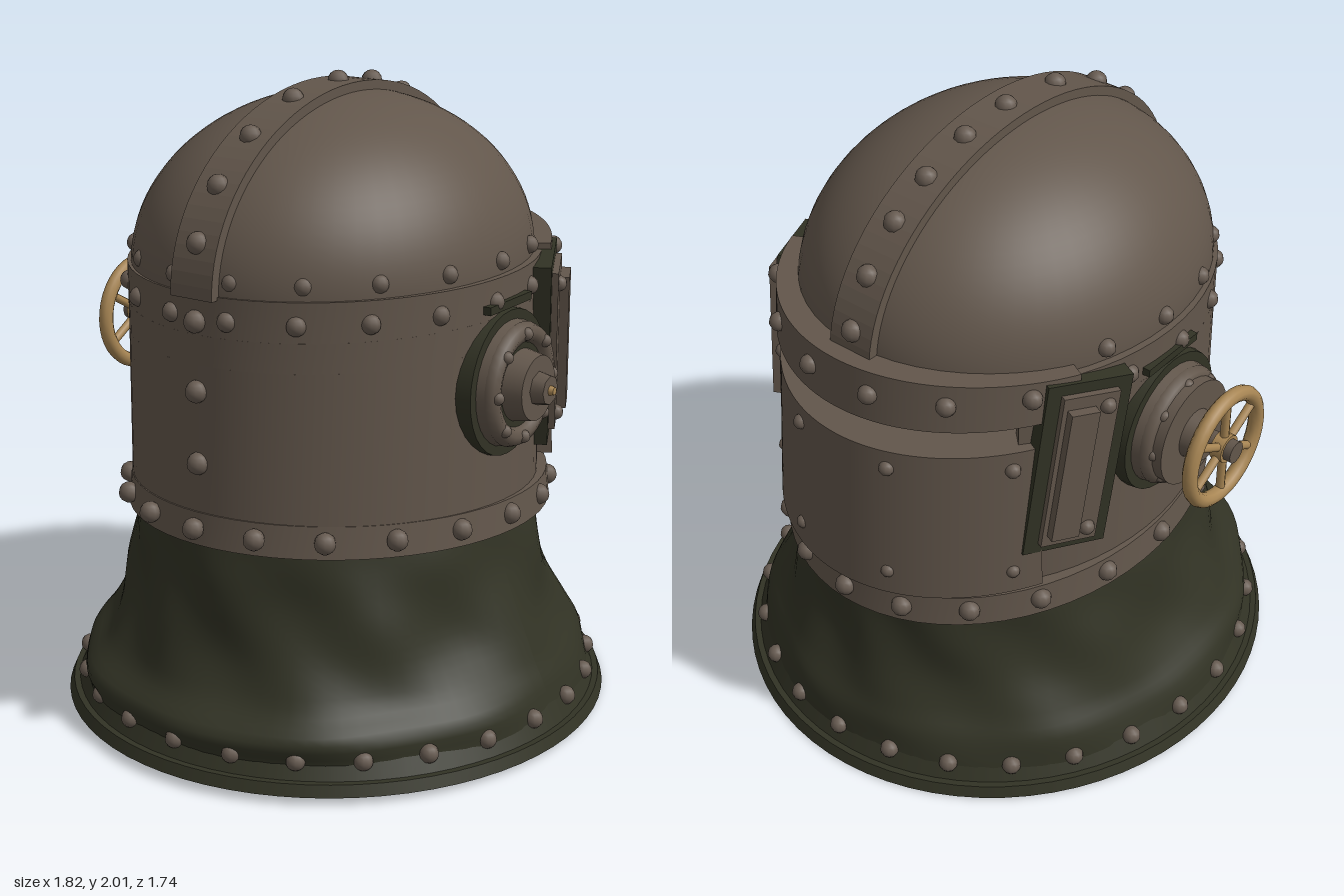
import * as THREE from 'three';
import { mergeGeometries } from 'three/addons/utils/BufferGeometryUtils.js';

const material = (name, color, side = THREE.FrontSide) => {
  const m = new THREE.MeshStandardMaterial({ color, side });
  m.name = name;
  return m;
};

export function createModel() {
  const iron = material('rusted iron', 0x62564b);
  const rivetIron = material('rivet iron', 0x675b51);
  const cloth = material('dark green cloth', 0x313224, THREE.DoubleSide);
  const brass = material('brass', 0xa88654);
  const root = new THREE.Group();
  root.name = 'helmet';

  const add = (name, geo, mat, parent = root, pos = [0, 0, 0]) => {
    const m = new THREE.Mesh(geo, mat);
    m.name = name;
    m.position.set(...pos);
    parent.add(m);
    return m;
  };
  const rad = THREE.MathUtils.degToRad;

  // Solid elliptical band: a rectangle swept round the y axis, y0/y1 dropping with x by tilt
  function band({ rx, rz, t, y0, y1, a0 = 0, a1 = 360, lean = 0, tilt0 = 0, tilt1 = 0, n = 64 }) {
    const corner = (k, a) => {
      const top = k === 1 || k === 2, inset = k > 1 ? t : 0;
      const d = -inset + (top ? lean : 0);
      const x = (rx + d) * Math.cos(a), z = (rz + d) * Math.sin(a);
      return [x, top ? y1 - tilt1 * x : y0 - tilt0 * x, z];
    };
    const pos = [], idx = [];
    for (let k = 0; k < 4; k++) {
      const base = pos.length / 3;
      for (let i = 0; i <= n; i++) {
        const a = rad(a0 + (a1 - a0) * i / n);
        pos.push(...corner(k, a), ...corner((k + 1) % 4, a));
        if (i < n) {
          const p = base + i * 2;
          idx.push(p, p + 1, p + 2, p + 1, p + 3, p + 2);
        }
      }
    }
    if (a1 - a0 < 360) {
      for (const [a, flip] of [[a0, true], [a1, false]]) {
        const b = pos.length / 3;
        for (let k = 0; k < 4; k++) pos.push(...corner(k, rad(a)));
        idx.push(...(flip ? [b, b + 2, b + 1, b, b + 3, b + 2] : [b, b + 1, b + 2, b, b + 2, b + 3]));
      }
    }
    const g = new THREE.BufferGeometry();
    g.setAttribute('position', new THREE.Float32BufferAttribute(pos, 3));
    g.setIndex(idx);
    g.computeVertexNormals();
    return g;
  }

  // Rivet heads, merged by row
  function rivets(name, points, r = 0.03, parent = root) {
    add(name, mergeGeometries(points.map(p => new THREE.SphereGeometry(r, 10, 8).translate(...p))), rivetIron, parent);
  }
  const ring = (n, rx, rz, y, { a0 = 0, a1 = 360, tilt = 0 } = {}) =>
    Array.from({ length: n }, (_, i) => {
      const a = rad(a0 + (a1 - a0) * (a1 - a0 < 360 ? i / (n - 1) : i / n));
      const x = rx * Math.cos(a);
      return [x, y - tilt * x, rz * Math.sin(a)];
    });

  // Skull dome
  const dome = new THREE.SphereGeometry(1, 56, 24, 0, Math.PI * 2, 0, Math.PI / 2);
  dome.scale(0.69, 0.51, 0.595);
  add('dome', dome, iron, root, [-0.01, 1.45, 0]);

  // Crest strip over the dome, front to back
  const crest = new THREE.Shape();
  const arc = (r, i) => [-0.01 + (0.69 + r) * Math.cos(rad(4 + i * 4)), 1.45 + (0.51 + r) * Math.sin(rad(4 + i * 4))];
  for (let i = 0; i <= 44; i++) i ? crest.lineTo(...arc(0.025, i)) : crest.moveTo(...arc(0.025, i));
  for (let i = 44; i >= 0; i--) crest.lineTo(...arc(-0.02, i));
  add('crestStrip', new THREE.ExtrudeGeometry(crest, { depth: 0.15, bevelEnabled: false }), iron, root, [0, 0, -0.075]);
  rivets('crestRivets', [12, 29, 45, 59, 74, 89, 108, 127, 145, 163].map(d =>
    [-0.01 + 0.71 * Math.cos(rad(d)), 1.45 + 0.53 * Math.sin(rad(d)), 0]), 0.034);
  rivets('backRivets', [0.95, 1.17, 1.38].map(y => [-0.71, y, 0]), 0.034);

  // Side walls, broken at the front by the eye slot
  add('lowerWall', band({ rx: 0.71, rz: 0.62, t: 0.06, y0: 0.68, y1: 1.25, lean: -0.005, tilt0: 0.066 }), iron);
  add('middleWall', band({ rx: 0.705, rz: 0.615, t: 0.06, y0: 1.25, y1: 1.34, a0: 46, a1: 314 }), iron);
  add('upperWall', band({ rx: 0.705, rz: 0.615, t: 0.06, y0: 1.34, y1: 1.46 }), iron);

  // Inner lining seen through the slot
  const lining = new THREE.LatheGeometry(
    [[0.94, 0.75], [0.94, 1.24], [0.76, 1.245], [0.76, 1.345], [0.94, 1.35], [0.94, 1.45]].map(p => new THREE.Vector2(...p)), 48);
  add('lining', lining.scale(0.7, 1, 0.6), cloth);

  // Brow, visor plate and collar band
  add('browBand', band({ rx: 0.77, rz: 0.645, t: 0.1, y0: 1.36, y1: 1.46, a0: -62, a1: 62, lean: -0.01, tilt0: 0.025, tilt1: -0.06 }), iron);
  add('visorPlate', band({ rx: 0.81, rz: 0.65, t: 0.13, y0: 0.78, y1: 1.25, a0: -54, a1: 54, lean: -0.03, tilt0: 0.066 }), iron);
  add('collarBand', band({ rx: 0.755, rz: 0.64, t: 0.09, y0: 0.65, y1: 0.75, tilt0: 0.066, tilt1: 0.066, lean: -0.01 }), iron)
    .position.x = 0.03;
  rivets('browRivets', ring(6, 0.765, 0.645, 1.46, { a0: -50, a1: 50, tilt: 0.04 }));
  rivets('visorTopRivets', ring(4, 0.78, 0.625, 1.19, { a0: -47, a1: 47 }), 0.024);
  rivets('visorBottomRivets', ring(4, 0.8, 0.64, 0.84, { a0: -47, a1: 47, tilt: 0.04 }), 0.022);
  rivets('collarRivets', ring(20, 0.76, 0.635, 0.705, { tilt: 0.066 }).map(([x, y, z]) => [x + 0.02, y, z]), 0.033);
  rivets('wallTopRivets', ring(12, 0.7, 0.61, 1.39, { a0: 76, a1: 284 }));
  rivets('domeRivets', ring(12, 0.68, 0.59, 1.5, { a0: 70, a1: 290 }), 0.028);

  for (const s of [1, -1]) {
    const side = s > 0 ? 'left' : 'right';

    // Slanted hinge plates beside the visor
    const hinge = new THREE.Group();
    hinge.name = side === 'left' ? 'hingeLeft' : 'hingeRight';
    hinge.position.set(0.36, 1.16, s * 0.54);
    hinge.rotation.set(0, s > 0 ? 0.45 : Math.PI - 0.45, s * 0.13);
    root.add(hinge);
    add('hingeBacking', new THREE.BoxGeometry(0.27, 0.6, 0.06), cloth, hinge);
    add('hingePlate', new THREE.BoxGeometry(0.18, 0.53, 0.1), iron, hinge);
    add('hingeRail', new THREE.BoxGeometry(0.09, 0.45, 0.04), iron, hinge, [s * 0.03, 0, 0.06]);
    rivets('hingeRivets', [-0.22, 0.22].map(y => [-s * 0.055, y, 0.05]), 0.025, hinge);

    // Round valve seats
    const valve = new THREE.Group();
    valve.name = side === 'left' ? 'valveLeft' : 'valveRight';
    valve.position.set(0, 1.13, s * 0.6);
    valve.rotation.y = s > 0 ? 0 : Math.PI;
    root.add(valve);
    const disc = (name, r0, r1, z0, z1, mat, n = 32) =>
      add(name, new THREE.CylinderGeometry(r1, r0, z1 - z0, n).rotateX(Math.PI / 2), mat, valve, [0, 0, (z0 + z1) / 2]);
    disc('valveBacking', 0.235, 0.225, -0.06, 0.03, cloth);
    disc('valveFlange', 0.2, 0.19, 0, 0.06, iron);
    add('valveRim', new THREE.TorusGeometry(0.16, 0.032, 8, 36), iron, valve, [0, 0, 0.06]);
    disc('valveGroove', 0.13, 0.13, 0.05, 0.068, cloth);
    rivets('valveRivets', ring(8, 0.16, 0.16, 0).map(([x, , z]) => [x, z, 0.085]), 0.02, valve);
    add('ventPlate', new THREE.BoxGeometry(0.24, 0.025, 0.04), cloth, valve, [0, 0.245, 0.01]);

    if (s > 0) {
      // Capped valve
      disc('valveHub', 0.115, 0.1, 0.05, 0.13, iron);
      disc('valveNut', 0.055, 0.045, 0.12, 0.17, iron, 8);
      disc('valvePin', 0.018, 0.012, 0.16, 0.185, brass, 10);
    } else {
      // Valve with a hand wheel
      disc('valveHub', 0.17, 0.17, 0.07, 0.12, iron);
      disc('valveCollar', 0.08, 0.07, 0.11, 0.17, iron);
      disc('valveShaft', 0.035, 0.035, 0.16, 0.27, iron, 12);
      const wheel = new THREE.Group();
      wheel.name = 'handWheel';
      wheel.position.z = 0.225;
      valve.add(wheel);
      add('wheelRim', new THREE.TorusGeometry(0.173, 0.024, 10, 40), brass, wheel);
      add('wheelHub', new THREE.CylinderGeometry(0.045, 0.045, 0.04, 16).rotateX(Math.PI / 2), brass, wheel);
      for (let i = 0; i < 6; i++) {
        const spoke = new THREE.CylinderGeometry(0.014, 0.014, 0.15, 8).translate(0, 0.1, 0).rotateZ(i * Math.PI / 3);
        add('wheelSpoke', spoke, brass, wheel);
      }
    }
  }

  // Draped neck cloth with soft folds
  const curve = new THREE.SplineCurve([[0.85, 0.08], [0.83, 0.17], [0.785, 0.25], [0.74, 0.36], [0.715, 0.5], [0.705, 0.62], [0.69, 0.74]]
    .map(p => new THREE.Vector2(...p)));
  const neck = new THREE.LatheGeometry(curve.getPoints(24), 96);
  const p = neck.attributes.position;
  for (let i = 0; i < p.count; i++) {
    const x = p.getX(i), y = p.getY(i), z = p.getZ(i), a = Math.atan2(z, x);
    const amp = Math.max(0, Math.sin(Math.PI * (y - 0.06) / 0.7));
    const back = x < 0 ? 0.05 * Math.exp(-(((y - 0.17) / 0.05) ** 2)) * -Math.cos(a) : 0;
    const f = 1 + amp * (0.016 * Math.sin(7 * a + 9 * y) + 0.012 * Math.sin(11 * a - 13 * y + 1)) + back;
    p.setXYZ(i, x * f + 0.015 * y / 0.7, y, z * f * (0.975 - 0.17 * y));
  }
  neck.computeVertexNormals();
  add('neckCloth', neck, cloth);

  // Brim, its raised trim and studs
  const brim = new THREE.Group();
  brim.name = 'brim';
  brim.position.y = 0.035;
  brim.rotation.z = -0.015;
  root.add(brim);
  add('brimPlate', new THREE.CylinderGeometry(0.895, 0.91, 0.035, 72).scale(1, 1, 0.955), cloth, brim);
  add('brimTrim', new THREE.CylinderGeometry(0.835, 0.885, 0.09, 72).scale(1, 1, 0.955), cloth, brim, [0, 0.045, 0]);
  rivets('brimStuds', ring(26, 0.85, 0.812, 0.07), 0.03, brim);

  return root;
}
